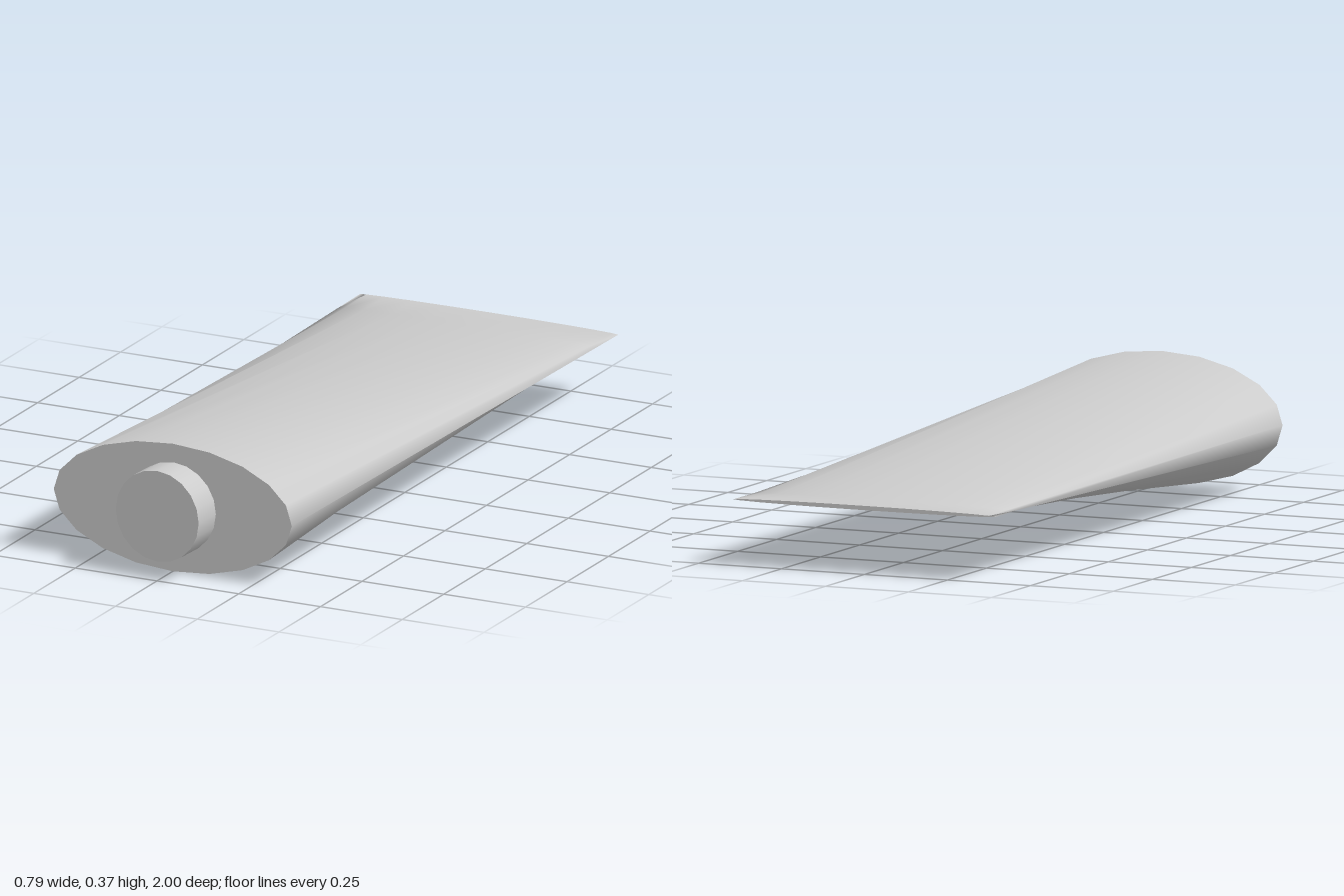
import * as THREE from 'three';

const SIDES = 20;
const MID_Y = 0.185;

// Elliptical cross-sections from the shoulder to the flattened seal
const SECTIONS = [
  { z: 0.905, rx: 0.364, ry: 0.183 },
  { z: -0.87, rx: 0.393, ry: 0.006 },
  { z: -1, rx: 0.395, ry: 0.006 },
];

function ring({ rx, ry }) {
  return Array.from({ length: SIDES }, (_, i) => {
    const a = (i / SIDES) * Math.PI * 2;
    return new THREE.Vector2(Math.cos(a) * rx, Math.sin(a) * ry);
  });
}

// Smooth wall lofted through the sections
function loftWall() {
  const positions = [];
  const index = [];
  SECTIONS.forEach((s, r) => {
    ring(s).forEach((p) => positions.push(p.x, p.y, s.z));
    if (r === 0) return;
    for (let i = 0; i < SIDES; i++) {
      const j = (i + 1) % SIDES;
      const f = (r - 1) * SIDES;
      const b = r * SIDES;
      index.push(f + i, b + i, f + j, f + j, b + i, b + j);
    }
  });
  const geometry = new THREE.BufferGeometry();
  geometry.setAttribute('position', new THREE.Float32BufferAttribute(positions, 3));
  geometry.setIndex(index);
  geometry.computeVertexNormals();
  return geometry;
}

// Flat end plate facing +z
function endPlate(section) {
  return new THREE.ShapeGeometry(new THREE.Shape(ring(section)));
}

export function createModel() {
  const group = new THREE.Group();
  group.name = 'squeezeTube';
  const material = new THREE.MeshStandardMaterial({ color: 0xcccccc });
  const add = (name, geometry) => {
    const mesh = new THREE.Mesh(geometry, material);
    mesh.name = name;
    mesh.position.y = MID_Y;
    group.add(mesh);
    return mesh;
  };

  add('tubeBody', loftWall());

  const shoulder = add('shoulderPlate', endPlate(SECTIONS[0]));
  shoulder.position.z = SECTIONS[0].z;

  const seal = add('sealEnd', endPlate(SECTIONS[2]));
  seal.position.z = SECTIONS[2].z;
  seal.rotation.y = Math.PI;

  // Round cap, set very slightly askew
  const capGeometry = new THREE.CylinderGeometry(0.13, 0.13, 0.11, SIDES);
  capGeometry.rotateX(Math.PI / 2);
  const cap = add('cap', capGeometry);
  cap.position.z = 0.938;
  cap.rotation.y = -0.05;

  return group;
}
